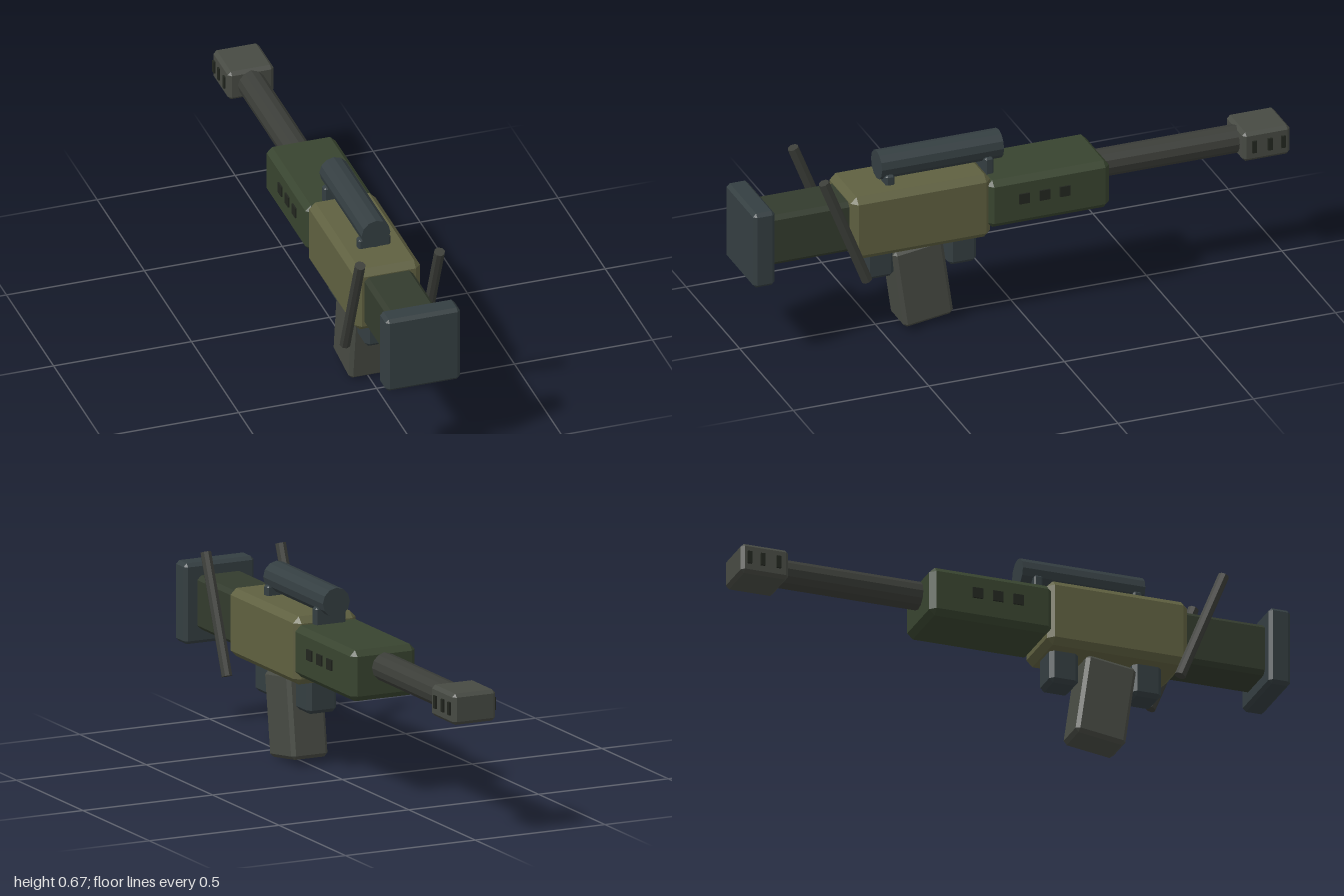
import * as THREE from 'three';
import { ConvexGeometry } from 'three/addons/geometries/ConvexGeometry.js';

const material = (color) => new THREE.MeshStandardMaterial({ color, flatShading: true });
const olive = material(0x5f6040);
const green = material(0x38442f);
const darkGreen = material(0x333b2d);
const steel = material(0x3b3d38);
const grey = material(0x474a43);
const slate = material(0x343e41);
const dark = material(0x22261f);

// Box with every edge cut at 45 degrees, centred on the origin
function chamferBox(w, h, d, c) {
  const points = [];
  for (const sx of [-1, 1]) for (const sy of [-1, 1]) for (const sz of [-1, 1]) {
    for (let axis = 0; axis < 3; axis++) {
      const half = [w / 2, h / 2, d / 2].map((v, i) => (i === axis ? v : v - c));
      points.push(new THREE.Vector3(sx * half[0], sy * half[1], sz * half[2]));
    }
  }
  return new ConvexGeometry(points);
}

export function createModel() {
  const group = new THREE.Group();

  const add = (name, geometry, mat, x, y, z) => {
    const mesh = new THREE.Mesh(geometry, mat);
    mesh.name = name;
    mesh.position.set(x, y, z);
    group.add(mesh);
    return mesh;
  };
  // Chamfered block given by half width and its y and z ranges
  const block = (name, mat, halfW, y0, y1, z0, z1, c) =>
    add(name, chamferBox(halfW * 2, y1 - y0, z1 - z0, c), mat, 0, (y0 + y1) / 2, (z0 + z1) / 2);
  // Cylinder lying along z
  const tube = (name, mat, r, y, z0, z1, sides) => {
    const geometry = new THREE.CylinderGeometry(r, r, z1 - z0, sides).rotateX(Math.PI / 2);
    return add(name, geometry, mat, 0, y, (z0 + z1) / 2);
  };

  // Main body, from the butt to the muzzle
  block('buttPlate', slate, 0.135, 0.29, 0.575, 0.92, 1.0, 0.012);
  block('stock', darkGreen, 0.088, 0.34, 0.53, 0.58, 0.94, 0.015);
  block('receiver', olive, 0.12, 0.315, 0.555, 0.115, 0.63, 0.022);
  block('handguard', green, 0.125, 0.35, 0.53, -0.32, 0.13, 0.02);
  tube('barrel', steel, 0.05, 0.465, -0.85, -0.3, 12);
  block('muzzleBrake', grey, 0.083, 0.41, 0.52, -1.0, -0.825, 0.012);

  // Vents on both sides
  for (const side of [-1, 1]) {
    for (const z of [0, -0.075, -0.15]) {
      add('handguardVent', new THREE.BoxGeometry(0.02, 0.038, 0.038), dark, side * 0.121, 0.45, z);
    }
    for (const z of [-0.865, -0.923, -0.972]) {
      add('muzzleVent', new THREE.BoxGeometry(0.016, 0.045, 0.016), dark, side * 0.082, 0.466, z);
    }
  }

  // Scope and its two mounts
  tube('scope', slate, 0.052, 0.613, 0.045, 0.495, 12);
  block('rearScopeMount', slate, 0.058, 0.53, 0.59, 0.45, 0.482, 0.006);
  block('frontScopeMount', slate, 0.058, 0.51, 0.59, 0.085, 0.117, 0.006);

  // Grips and the tilted magazine
  block('rearGrip', slate, 0.057, 0.2, 0.34, 0.45, 0.555, 0.014);
  block('frontGrip', slate, 0.057, 0.2, 0.34, 0.145, 0.25, 0.014);
  const magazine = add('magazine', chamferBox(0.14, 0.3, 0.185, 0.013), grey, 0, 0.158, 0.347);
  magazine.rotation.x = 0.14;

  // Slanted side rods
  const top = new THREE.Vector3(0, 0.657, 0.747);
  const bottom = new THREE.Vector3(0, 0.253, 0.587);
  const axis = top.clone().sub(bottom);
  const middle = top.clone().add(bottom).multiplyScalar(0.5);
  for (const side of [-1, 1]) {
    const rod = add(side > 0 ? 'leftRod' : 'rightRod',
      new THREE.CylinderGeometry(0.0195, 0.0195, axis.length(), 8),
      steel, side * 0.144, middle.y, middle.z);
    rod.rotation.x = Math.atan2(axis.z, axis.y);
  }

  return group;
}
